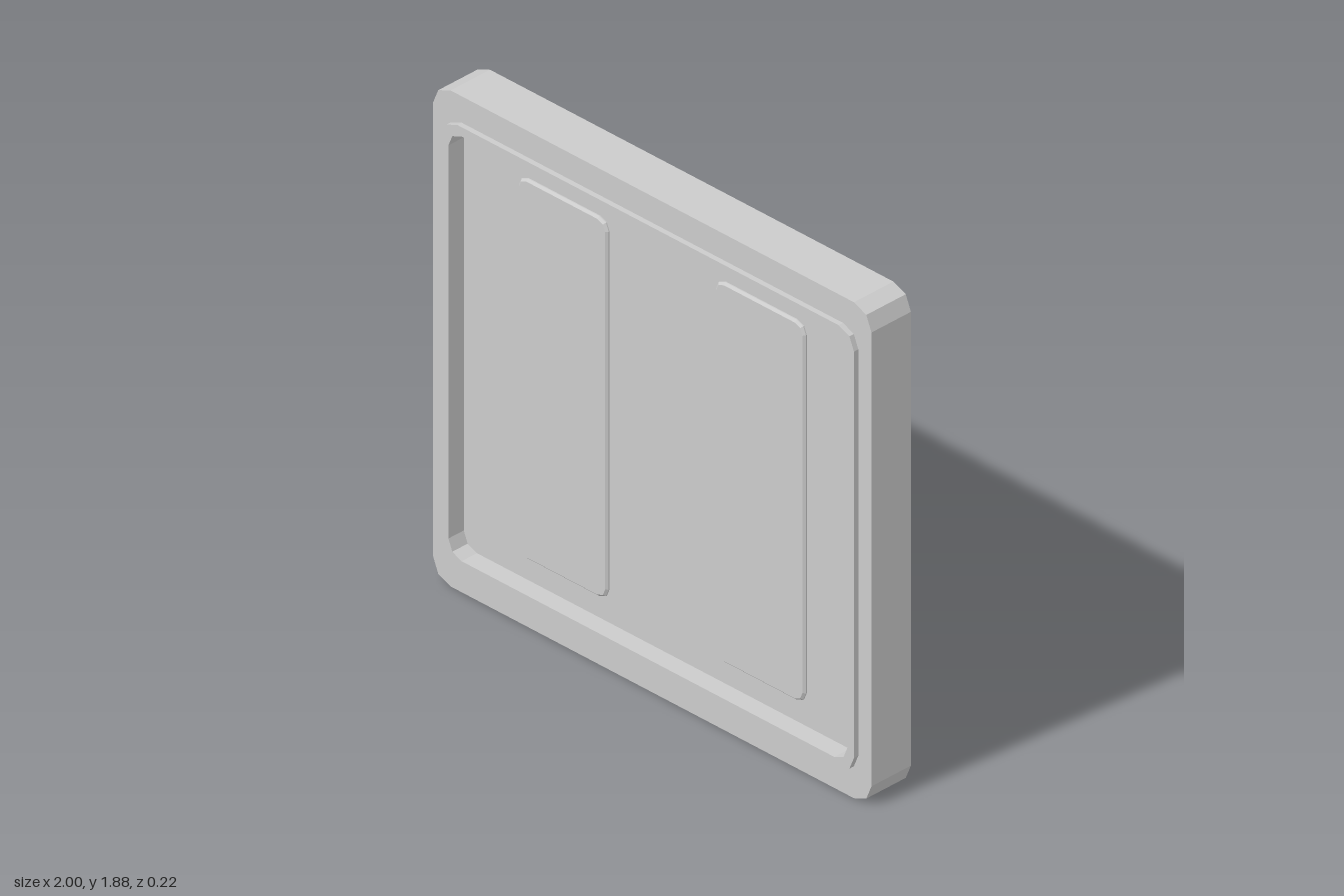
import * as THREE from 'three';

const material = new THREE.MeshStandardMaterial({ color: 0xcccccc, flatShading: true });
const MID_Y = 0.94;

// Rectangle whose corners are quarter arcs of two straight segments
function roundedRect(w, h, r, Type = THREE.Shape) {
  const points = [];
  const corners = [[1, 1], [-1, 1], [-1, -1], [1, -1]];
  corners.forEach(([sx, sy], i) => {
    for (let k = 0; k <= 2; k++) {
      const a = (i + k / 2) * Math.PI / 2;
      points.push(new THREE.Vector2(
        sx * (w / 2 - r) + Math.cos(a) * r,
        sy * (h / 2 - r) + Math.sin(a) * r));
    }
  });
  return new Type(points);
}

// Slab centred on z = 0, with an optional opening
function slab(name, shape, depth, hole) {
  if (hole) shape.holes.push(hole);
  const geometry = new THREE.ExtrudeGeometry(shape, { depth, bevelEnabled: false });
  geometry.translate(0, 0, -depth / 2);
  const mesh = new THREE.Mesh(geometry, material);
  mesh.name = name;
  mesh.position.y = MID_Y;
  return mesh;
}

export function createModel() {
  const model = new THREE.Group();
  model.name = 'framedPanel';
  const opening = () => roundedRect(1.82, 1.61, 0.06, THREE.Path);

  // Thick outer frame
  model.add(slab('outerFrame', roundedRect(2, 1.88, 0.08), 0.18, opening()));

  // Thin lip standing proud of the frame on both faces
  for (const side of [1, -1]) {
    const lip = slab('lip', roundedRect(1.88, 1.68, 0.07), 0.02, opening());
    lip.position.z = side * 0.1;
    model.add(lip);
  }

  // Recessed centre panel
  model.add(slab('centrePanel', roundedRect(1.82, 1.61, 0.06), 0.08));

  // Two low plates with bevelled edges on each face
  const bevel = 0.008;
  const plateGeometry = new THREE.ExtrudeGeometry(
    roundedRect(0.41 - 2 * bevel, 1.44 - 2 * bevel, 0.035),
    { depth: 0.004, bevelThickness: bevel, bevelSize: bevel, bevelSegments: 1 });
  for (const face of [1, -1]) {
    for (const side of [1, -1]) {
      const plate = new THREE.Mesh(plateGeometry, material);
      plate.name = 'raisedPlate';
      plate.position.set(side * 0.45, MID_Y, face * 0.04);
      if (face < 0) plate.rotation.y = Math.PI;
      model.add(plate);
    }
  }
  return model;
}
